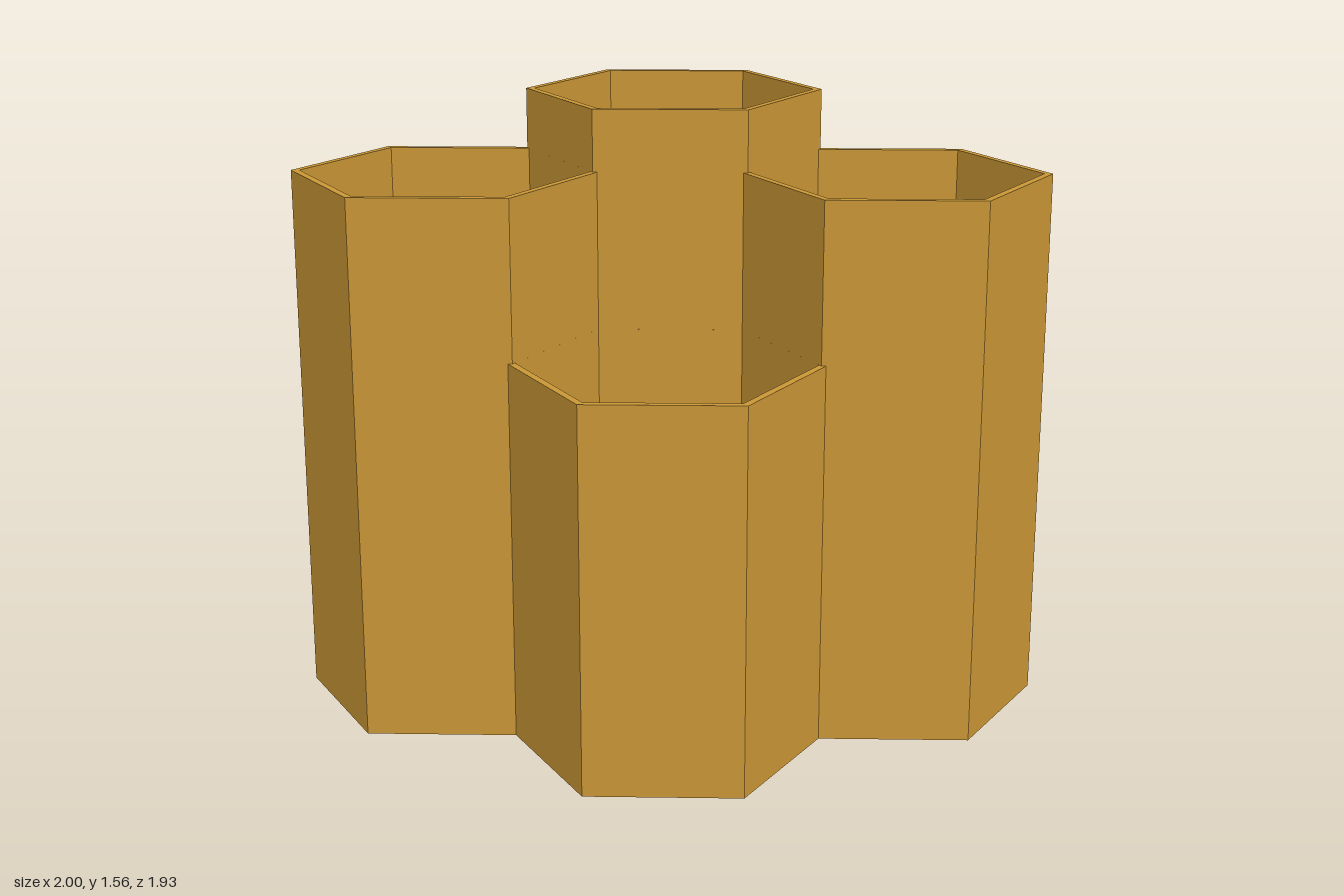
import * as THREE from 'three';

const OUTER = 0.392;   // corner radius of a cell
const INNER = 0.37;    // corner radius of its hollow
const SPACING = 0.66;  // distance between cell centres
const FLOOR = 0.03;

// Hollow hexagonal cup with a corner towards +z
function cellGeometry(height) {
  const profile = [
    [0, 0], [OUTER, 0], [OUTER, height], [INNER, height], [INNER, FLOOR], [0, FLOOR],
  ].map(([r, y]) => new THREE.Vector2(r, y));
  return new THREE.LatheGeometry(profile, 6);
}

export function createModel() {
  const model = new THREE.Group();
  model.name = 'honeycombCells';
  const honey = new THREE.MeshStandardMaterial({ color: 0xc99636, flatShading: true });
  honey.name = 'honey';

  const addCell = (name, height, x, z) => {
    const cell = new THREE.Mesh(cellGeometry(height), honey);
    cell.name = name;
    cell.position.set(x, 0, z);
    model.add(cell);
  };

  // Tallest cell in the middle
  addCell('centreCell', 1.56, 0, 0);

  // Ring of six, low and tall in turn, starting at +x
  for (let i = 0; i < 6; i++) {
    const angle = (i * Math.PI) / 3;
    const tall = i % 2 === 1;
    addCell(
      tall ? 'tallCell' : 'lowCell',
      tall ? 1.4 : 0.99,
      SPACING * Math.cos(angle),
      SPACING * Math.sin(angle),
    );
  }
  return model;
}
